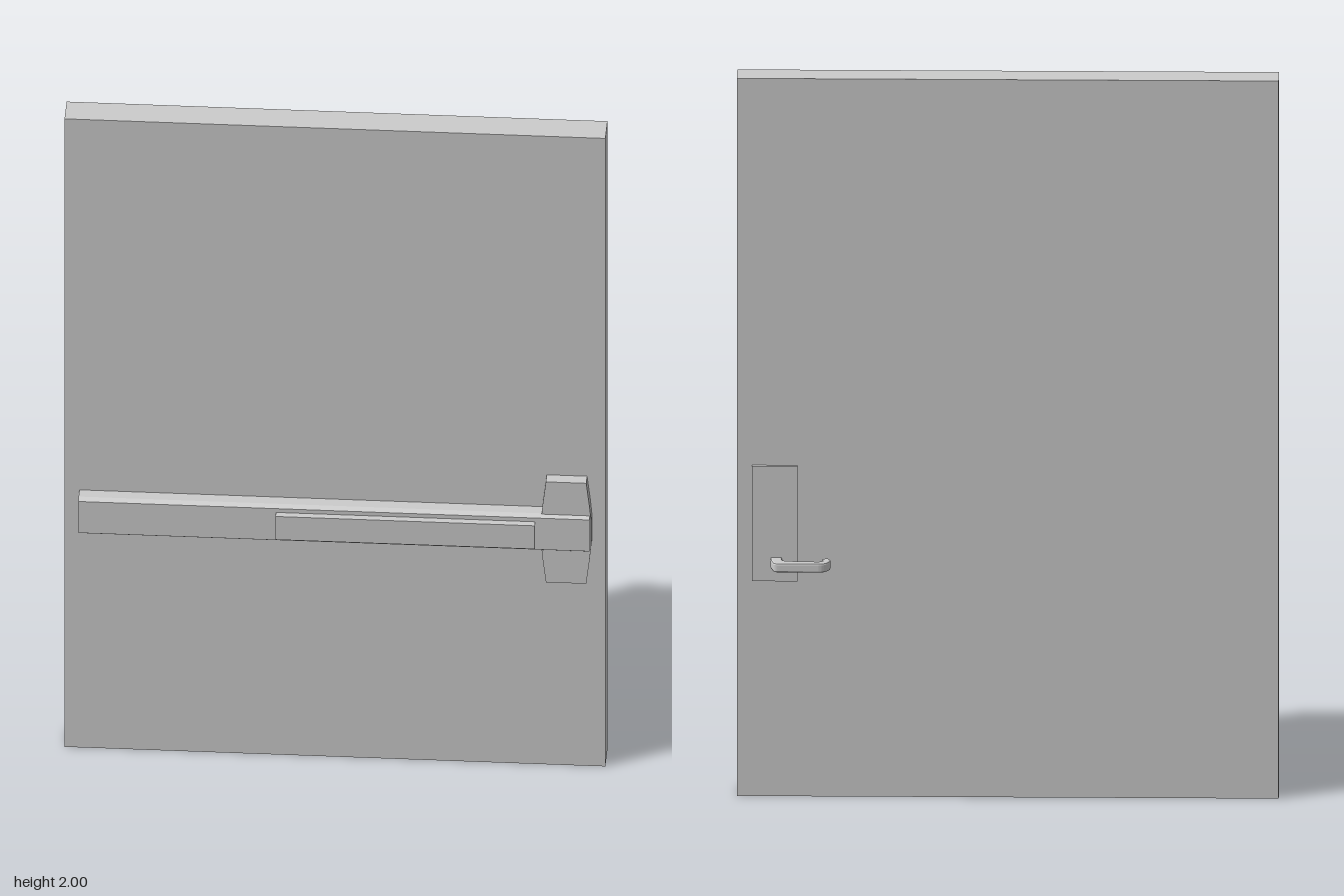
import * as THREE from 'three';

const grey = new THREE.MeshStandardMaterial({ color: 0xcccccc, flatShading: true });

function add(group, name, geometry) {
  const mesh = new THREE.Mesh(geometry, grey);
  mesh.name = name;
  group.add(mesh);
  return mesh;
}

// Box given by its lower and upper limits on each axis
function block(group, name, [x0, x1], [y0, y1], [z0, z1]) {
  const mesh = add(group, name, new THREE.BoxGeometry(x1 - x0, y1 - y0, z1 - z0));
  mesh.position.set((x0 + x1) / 2, (y0 + y1) / 2, (z0 + z1) / 2);
  return mesh;
}

const outline = (points) => new THREE.Shape(points.map(([x, y]) => new THREE.Vector2(x, y)));

export function createModel() {
  const model = new THREE.Group();
  model.name = 'exitDoor';

  const front = 0.045, back = -0.04, midY = 0.762;
  block(model, 'doorPanel', [-0.725, 0.725], [0, 2], [back, front]);

  // Horizontal push bar: chamfered cross-section (z, y) swept along x
  const section = outline([
    [front, -0.058], [0.078, -0.058], [0.09, -0.05],
    [0.09, 0.05], [0.078, 0.058], [front, 0.058],
  ]);
  const barGeometry = new THREE.ExtrudeGeometry(section, { depth: 1.37, bevelEnabled: false });
  barGeometry.rotateY(-Math.PI / 2).scale(1, 1, 1);
  const bar = add(model, 'pushBarHousing', barGeometry);
  bar.position.set(0.685, midY, 0);

  block(model, 'pushPad', [-0.155, 0.54], [0.726, 0.8], [0.085, 0.11]);

  // Latch case with sides that swell toward the middle
  const half = [[0.054, 0.16], [0.063, 0.085], [0.067, 0.04]];
  const right = [...half, ...half.map(([x, y]) => [x, -y]).reverse()];
  const left = right.map(([x, y]) => [-x, y]).reverse();
  const latchCase = add(model, 'latchCase', new THREE.ExtrudeGeometry(
    outline([...right, ...left]), { depth: 0.035, bevelEnabled: false }));
  latchCase.position.set(0.622, midY, front);

  // Outside trim: plate and hooked lever
  block(model, 'backPlate', [0.562, 0.684], [0.602, 0.922], [-0.051, back]);

  // Lever outline seen from above, as (x, distance behind the door centre)
  const lever = new THREE.Shape();
  lever.moveTo(0.634, 0.048);
  lever.lineTo(0.634, 0.072);
  lever.lineTo(0.627, 0.104);
  lever.quadraticCurveTo(0.624, 0.111, 0.612, 0.111);
  lever.lineTo(0.505, 0.112);
  lever.quadraticCurveTo(0.48, 0.11, 0.474, 0.083);
  lever.lineTo(0.473, 0.072);
  lever.lineTo(0.481, 0.054);
  lever.lineTo(0.496, 0.062);
  lever.lineTo(0.495, 0.078);
  lever.quadraticCurveTo(0.498, 0.088, 0.508, 0.088);
  lever.lineTo(0.585, 0.083);
  lever.quadraticCurveTo(0.602, 0.081, 0.604, 0.066);
  lever.lineTo(0.604, 0.048);
  const leverGeometry = new THREE.ExtrudeGeometry(lever, {
    depth: 0.016, curveSegments: 6,
    bevelThickness: 0.005, bevelSize: 0.005, bevelOffset: -0.005, bevelSegments: 2,
  });
  leverGeometry.rotateX(-Math.PI / 2);
  add(model, 'leverHandle', leverGeometry).position.y = 0.648;

  return model;
}
